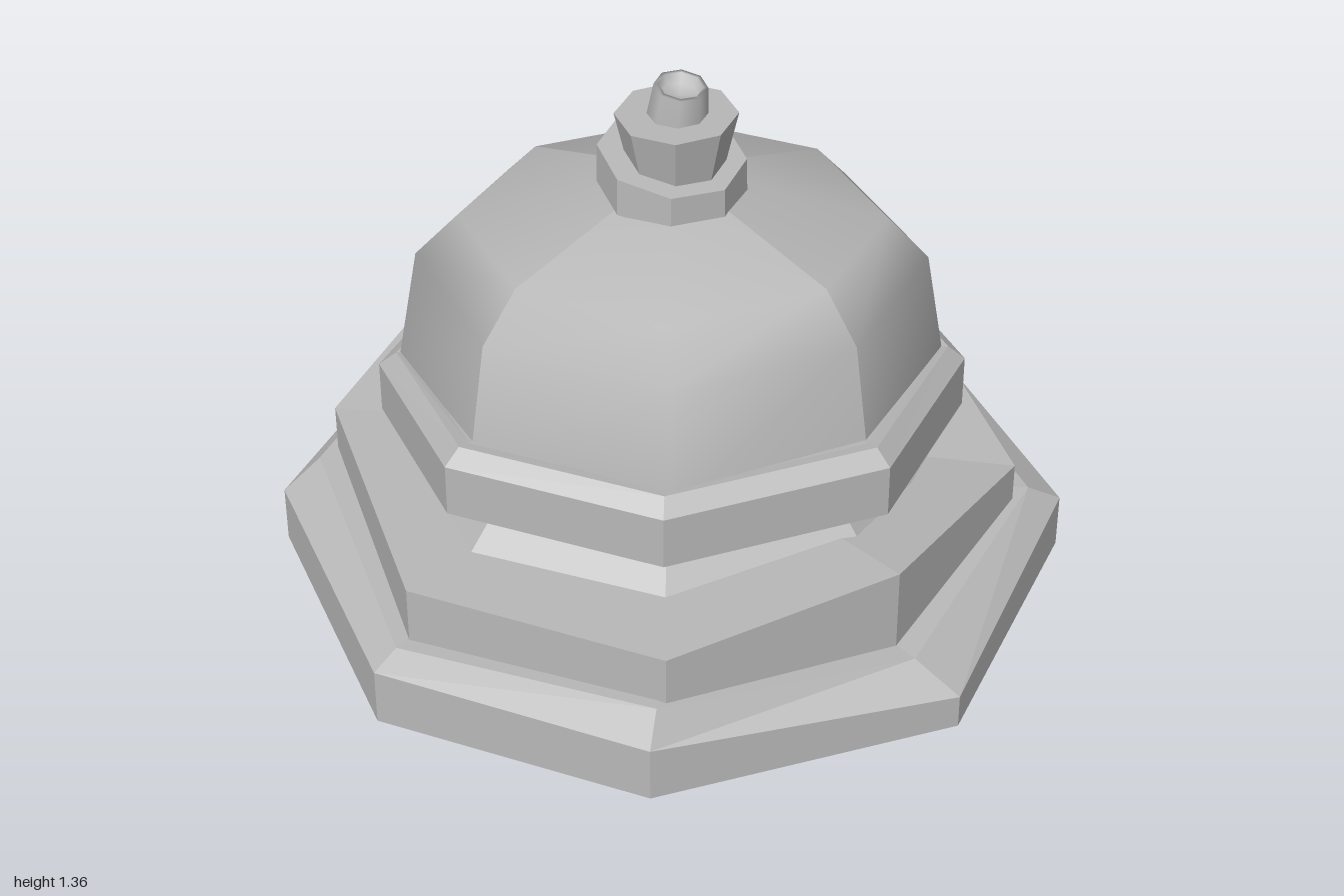
import * as THREE from 'three';

const SIDES = 8;

// Ring of eight points, front corner first and turning toward +x
function ring(outline, scale, heights) {
  return outline.map(([x, z], i) =>
    new THREE.Vector3(x * scale, Array.isArray(heights) ? heights[i] : heights, z * scale));
}

// Faceted solid through a stack of rings, capped at both ends
function loft(rings) {
  const pos = [];
  const tri = (a, b, c) => [a, b, c].forEach((p) => pos.push(p.x, p.y, p.z));
  const middle = (r) => r.reduce((s, p) => s.add(p), new THREE.Vector3()).divideScalar(SIDES);
  const low = rings[0], high = rings[rings.length - 1];
  const lowMid = middle(low), highMid = middle(high);
  for (let i = 0; i < SIDES; i++) {
    const j = (i + 1) % SIDES;
    for (let k = 0; k < rings.length - 1; k++) {
      const a = rings[k], b = rings[k + 1];
      tri(a[i], a[j], b[j]);
      tri(a[i], b[j], b[i]);
    }
    tri(lowMid, low[j], low[i]);
    tri(highMid, high[i], high[j]);
  }
  const g = new THREE.BufferGeometry();
  g.setAttribute('position', new THREE.Float32BufferAttribute(pos, 3));
  g.computeVertexNormals();
  return g;
}

// One quarter of the dome, smooth inside and creased along its borders
function domeQuarter(rows, apex, start) {
  const pos = [], index = [];
  rows.forEach((row) => {
    for (let i = 0; i < 3; i++) pos.push(...row[(start + i) % SIDES].toArray());
  });
  pos.push(...apex.toArray());
  const top = rows.length * 3;
  for (let k = 0; k < rows.length; k++) {
    for (let i = 0; i < 2; i++) {
      const a = k * 3 + i, b = a + 1;
      if (k === rows.length - 1) index.push(a, b, top);
      else index.push(a, b, b + 3, a, b + 3, a + 3);
    }
  }
  const g = new THREE.BufferGeometry();
  g.setAttribute('position', new THREE.Float32BufferAttribute(pos, 3));
  g.setIndex(index);
  g.computeVertexNormals();
  return g;
}

export function createModel() {
  const group = new THREE.Group();
  const grey = new THREE.MeshStandardMaterial({ color: 0xb8b8b8 });
  grey.name = 'stone grey';

  const add = (name, geometry, parent = group) => {
    const mesh = new THREE.Mesh(geometry, grey);
    mesh.name = name;
    parent.add(mesh);
    return mesh;
  };

  // Base slab with an uneven bevel
  const baseOuter = [[0, 0.99], [0.64, 0.71], [0.97, 0.02], [0.69, -0.67],
    [-0.1, -1], [-0.74, -0.62], [-0.97, 0.02], [-0.69, 0.71]];
  const baseInner = [[0, 0.92], [0.61, 0.66], [0.86, 0.06], [0.65, -0.59],
    [-0.06, -0.9], [-0.66, -0.58], [-0.89, 0.02], [-0.68, 0.6]];
  add('base', loft([
    ring(baseOuter, 1, 0),
    ring(baseOuter, 1, [0.15, 0.145, 0.09, 0.145, 0.12, 0.15, 0.15, 0.15]),
    ring(baseInner, 1, [0.185, 0.225, 0.165, 0.2, 0.17, 0.22, 0.24, 0.2]),
  ]));

  // Second step
  const stepOutline = [[0, 0.88], [0.61, 0.63], [0.8, 0.06], [0.65, -0.53],
    [-0.02, -0.85], [-0.59, -0.6], [-0.87, 0.03], [-0.68, 0.54]];
  add('step', loft([
    ring(stepOutline, 1, 0.12),
    ring(stepOutline, 1, [0.335, 0.35, 0.385, 0.3, 0.345, 0.34, 0.36, 0.325]),
  ]));

  // Sloping neck under the tilted band
  const bandOutline = [[0, 0.745], [0.5, 0.53], [0.72, 0.02], [0.51, -0.48],
    [0, -0.69], [-0.5, -0.48], [-0.71, 0.02], [-0.5, 0.53]];
  add('neck', loft([
    ring(bandOutline, 0.92, 0.33),
    ring(bandOutline, 0.76, 0.455),
    ring(bandOutline, 0.74, 0.52),
  ]));

  // Tilted band with a bevelled top edge
  const bandTop = [0.625, 0.635, 0.63, 0.58, 0.55, 0.55, 0.535, 0.55];
  add('band', loft([
    ring(bandOutline, 0.97, bandTop.map((y) => y - 0.15)),
    ring(bandOutline, 1, bandTop.map((y) => y - 0.135)),
    ring(bandOutline, 1, bandTop),
    ring(bandOutline, 0.94, bandTop.map((y) => y + 0.035)),
    ring(bandOutline, 0.9, bandTop.map((y) => y + 0.03)),
  ]));

  // Leaning dome in four smooth quarters
  const domeOutline = [[0, 0.67], [0.47, 0.49], [0.645, 0.01], [0.47, -0.45],
    [0, -0.63], [-0.46, -0.45], [-0.645, 0.01], [-0.47, 0.49]];
  const lean = domeOutline.map(([x, z]) => 0.045 * (x + z));
  const domeRows = [[1, 0.56], [0.92, 0.87], [0.765, 0.98]].map(([s, y]) =>
    ring(domeOutline, s, lean.map((d) => y + d)));
  const dome = new THREE.Group();
  dome.name = 'dome';
  group.add(dome);
  for (let q = 0; q < 4; q++) {
    add('domeQuarter', domeQuarter(domeRows, new THREE.Vector3(-0.02, 1.105, 0), q * 2), dome);
  }

  // Finial: two faceted collars
  const circle = Array.from({ length: SIDES }, (_, i) => {
    const a = (i / SIDES) * Math.PI * 2;
    return [Math.sin(a), Math.cos(a)];
  });
  const collar = (name, x, z, rLow, yLow, tiltLow, rHigh, yHigh, tiltHigh) => {
    const mesh = add(name, loft([
      ring(circle, rLow, circle.map(([cx]) => yLow + tiltLow * cx)),
      ring(circle, rHigh, circle.map(([cx]) => yHigh + tiltHigh * cx)),
    ]));
    mesh.position.set(x, 0, z);
  };
  collar('lowerCollar', 0.005, 0.022, 0.177, 1.07, -0.02, 0.175, 1.165, -0.026);
  collar('upperCollar', 0.02, 0.022, 0.112, 1.13, 0, 0.145, 1.277, 0.003);

  // Tilted tip with a shallow hollow
  const tip = add('tip', new THREE.LatheGeometry([
    [0.076, -0.07], [0.063, 0.055], [0.052, 0.055], [0.045, 0.03], [0, 0.025],
  ].map(([x, y]) => new THREE.Vector2(x, y)), SIDES));
  tip.position.set(0.026, 1.3, 0.02);
  tip.rotation.z = -0.13;

  return group;
}
